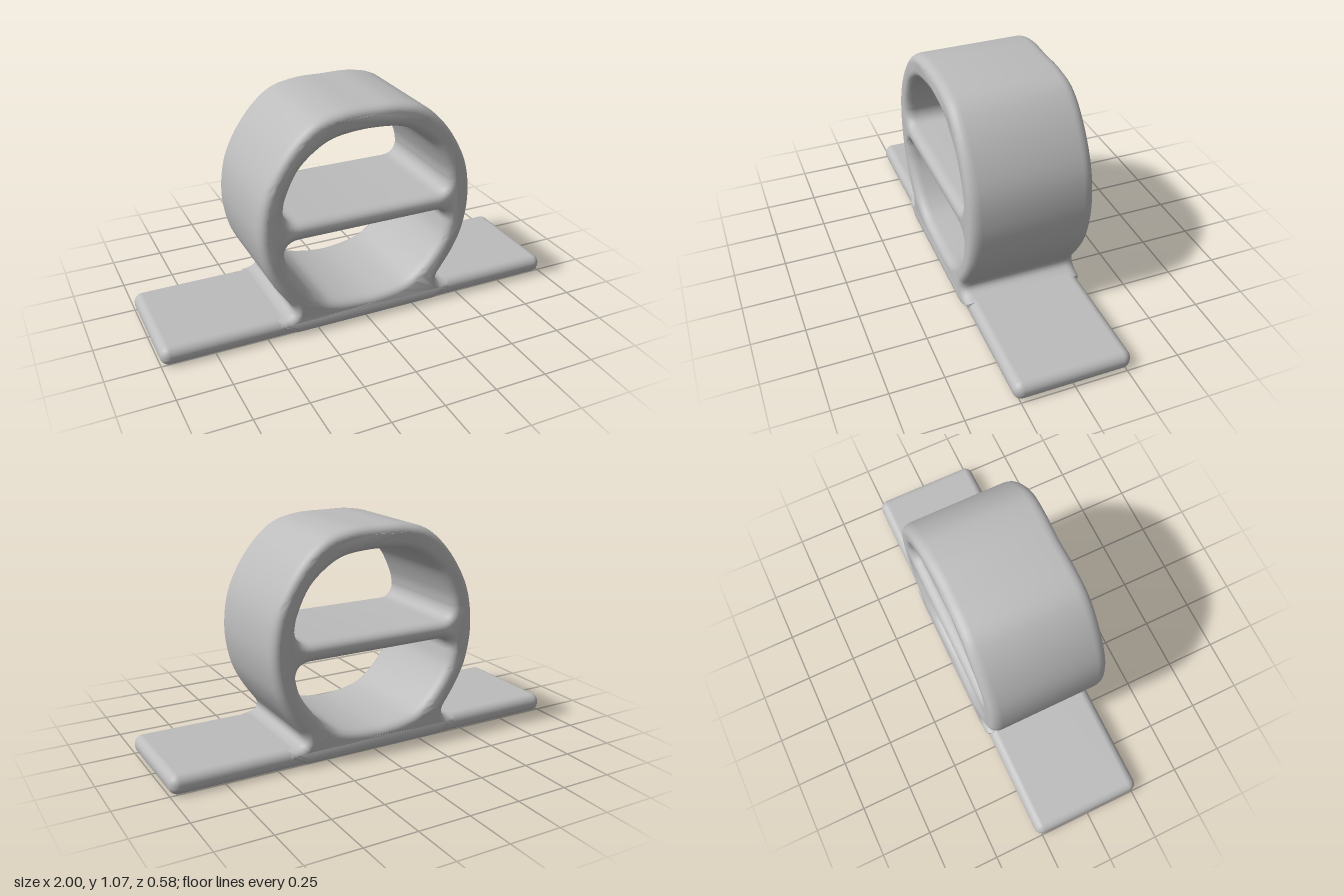
import * as THREE from 'three';
import { mergeVertices, toCreasedNormals } from 'three/addons/utils/BufferGeometryUtils.js';
import { RoundedBoxGeometry } from 'three/addons/geometries/RoundedBoxGeometry.js';

const BEVEL = 0.035, ROUND = 0.05, HALF_DEPTH = 0.29;

// Mirror a right-hand half profile (listed from x > 0 inwards or outwards) to the left
const mirror = (pts) => pts.map(([x, y]) => [-x, y]).reverse();
const vec = (pts) => pts.map(([x, y]) => new THREE.Vector2(x, y));

// D-shaped opening: straight edge along the shelf, curved edge along the ring
function opening(shelfY, cornerY, arc) {
  const path = new THREE.Path();
  const side = arc.slice(0, -1);
  path.moveTo(-0.34, shelfY);
  path.lineTo(0.34, shelfY);
  path.quadraticCurveTo(0.405, shelfY, 0.41, cornerY);
  path.splineThru(vec([...side, arc[arc.length - 1], ...mirror(side), [-0.41, cornerY]]));
  path.quadraticCurveTo(-0.405, shelfY, -0.34, shelfY);
  return path;
}

// Ring outline with its flared foot
function ringShape() {
  const half = [[0.38, 0.15], [0.46, 0.27], [0.51, 0.39], [0.53, 0.55], [0.5, 0.73],
    [0.405, 0.9], [0.28, 1.02], [0.15, 1.06]];
  const shape = new THREE.Shape();
  shape.moveTo(-0.36, 0.004);
  shape.lineTo(0.36, 0.004);
  shape.lineTo(0.45, 0.05);
  shape.lineTo(0.45, 0.088);
  shape.quadraticCurveTo(0.35, 0.09, 0.38, 0.15);
  shape.splineThru(vec([...half.slice(1), [0, 1.065], ...mirror(half)]));
  shape.quadraticCurveTo(-0.35, 0.09, -0.45, 0.088);
  shape.lineTo(-0.45, 0.05);
  shape.holes.push(
    opening(0.577, 0.64, [[0.395, 0.71], [0.34, 0.82], [0.26, 0.895], [0.16, 0.943], [0, 0.957]]),
    opening(0.49, 0.43, [[0.39, 0.35], [0.335, 0.26], [0.26, 0.18], [0.17, 0.132], [0, 0.11]]));
  return shape;
}

export function createModel() {
  const model = new THREE.Group();
  model.name = 'ringStand';
  const grey = new THREE.MeshStandardMaterial({ color: 0xbcbcbc });
  grey.name = 'grey';

  // Ring and cross shelf, with soft rounded rims
  let geometry = new THREE.ExtrudeGeometry(ringShape(), {
    depth: 2 * (HALF_DEPTH - ROUND), curveSegments: 6, bevelEnabled: true,
    bevelSize: BEVEL, bevelOffset: -BEVEL, bevelThickness: ROUND, bevelSegments: 5,
  });
  geometry.translate(0, 0, ROUND - HALF_DEPTH);
  // The rims dip in slightly towards the middle
  const pos = geometry.attributes.position;
  for (let i = 0; i < pos.count; i++) {
    const spread = Math.min(1, Math.abs(pos.getX(i)) / 0.3);
    pos.setZ(i, pos.getZ(i) * (0.965 + 0.035 * spread));
  }
  geometry.deleteAttribute('normal');
  geometry.deleteAttribute('uv');
  geometry = toCreasedNormals(mergeVertices(geometry, 1e-4), 0.8);
  const ring = new THREE.Mesh(geometry, grey);
  ring.name = 'ringWithShelf';
  model.add(ring);

  // Long flat foot plate
  const base = new THREE.Mesh(new RoundedBoxGeometry(2, 0.09, 0.55, 5, 0.042), grey);
  base.name = 'basePlate';
  base.position.y = 0.045;
  model.add(base);

  return model;
}
